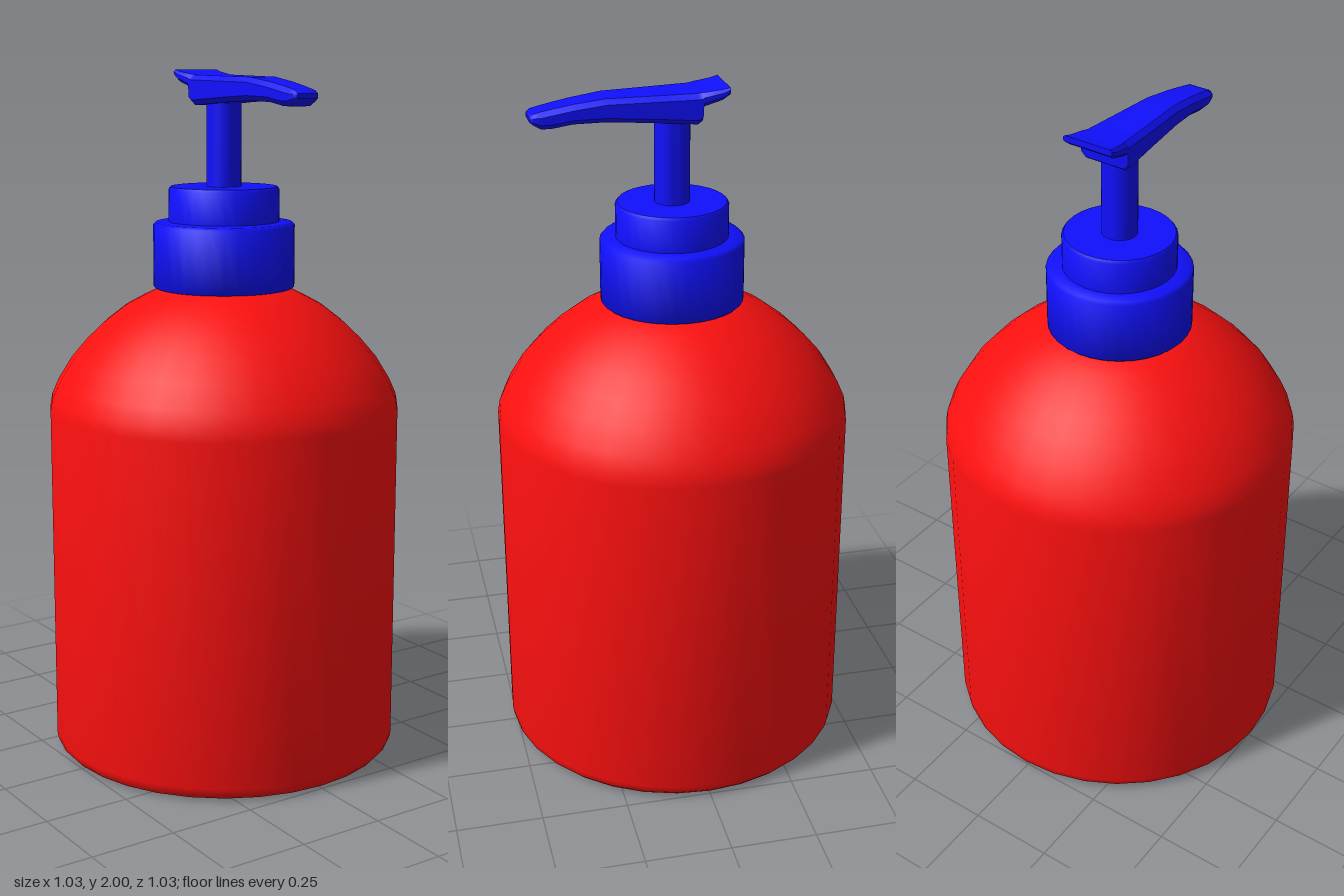
import * as THREE from 'three';
import { toCreasedNormals } from 'three/addons/utils/BufferGeometryUtils.js';

const red = new THREE.MeshStandardMaterial({ color: 0xff1010 });
const blue = new THREE.MeshStandardMaterial({ color: 0x1010ff });

function part(name, geometry, material, crease = 0.7) {
  const mesh = new THREE.Mesh(toCreasedNormals(geometry, crease), material);
  mesh.name = name;
  return mesh;
}

// Turned part from [radius, height] pairs, bottom to top
function turned(name, profile, material, crease) {
  const points = profile.map(([r, y]) => new THREE.Vector2(r, y));
  return part(name, new THREE.LatheGeometry(points, 32), material, crease);
}

// Chamfered rectangular sections [z, half width, top, bottom] joined back to front
function loft(sections) {
  const positions = [], indices = [], n = 8;
  for (const [z, w, t, b] of sections) {
    const c = Math.min(0.014, (t - b) * 0.3);
    const ring = [[w, b + c], [w, t - c], [w - c, t], [c - w, t], [-w, t - c], [-w, b + c], [c - w, b], [w - c, b]];
    for (const [x, y] of ring) positions.push(x, y, z);
  }
  const last = (sections.length - 1) * n;
  for (let i = 0; i < last; i += n) {
    for (let j = 0; j < n; j++) {
      const k = (j + 1) % n;
      indices.push(i + j, i + k, i + n + k, i + j, i + n + k, i + n + j);
    }
  }
  for (let j = 1; j < n - 1; j++) {
    indices.push(0, j + 1, j, last, last + j, last + j + 1);
  }
  const geometry = new THREE.BufferGeometry();
  geometry.setAttribute('position', new THREE.Float32BufferAttribute(positions, 3));
  geometry.setIndex(indices);
  geometry.computeVertexNormals();
  return geometry;
}

export function createModel() {
  const model = new THREE.Group();
  model.name = 'soapDispenser';

  // Bottle with a domed shoulder
  model.add(turned('bottle', [
    [0, 0], [0.475, 0], [0.497, 0.007], [0.509, 0.02], [0.513, 0.04],
    [0.513, 1.03], [0.507, 1.065], [0.487, 1.11], [0.447, 1.175], [0.4, 1.23],
    [0.35, 1.278], [0.29, 1.325], [0.235, 1.355], [0.18, 1.382], [0, 1.382],
  ], red, 0.9));

  // Two-step screw collar
  model.add(turned('collar', [
    [0, 1.38], [0.2, 1.38], [0.205, 1.385], [0.205, 1.562], [0.198, 1.57], [0.16, 1.572],
    [0.16, 1.664], [0.154, 1.672], [0, 1.672],
  ], blue, 0.9));

  // Pump stem
  const stem = new THREE.CylinderGeometry(0.05, 0.05, 0.27, 32);
  stem.translate(0, 1.795, 0);
  model.add(part('pumpStem', stem, blue));

  // Tapered spout with a thin thumb lip at the back
  model.add(part('spout', loft([
    [-0.145, 0.077, 2.0, 1.982],
    [-0.125, 0.077, 1.995, 1.967],
    [-0.072, 0.075, 1.988, 1.95],
    [-0.07, 0.075, 1.988, 1.91],
    [-0.058, 0.074, 1.986, 1.901],
    [0.06, 0.066, 1.984, 1.91],
    [0.19, 0.057, 1.982, 1.918],
    [0.28, 0.051, 1.97, 1.916],
    [0.335, 0.048, 1.96, 1.907],
    [0.365, 0.046, 1.954, 1.906],
    [0.388, 0.042, 1.948, 1.919],
    [0.397, 0.035, 1.94, 1.927],
  ]), blue));

  return model;
}
